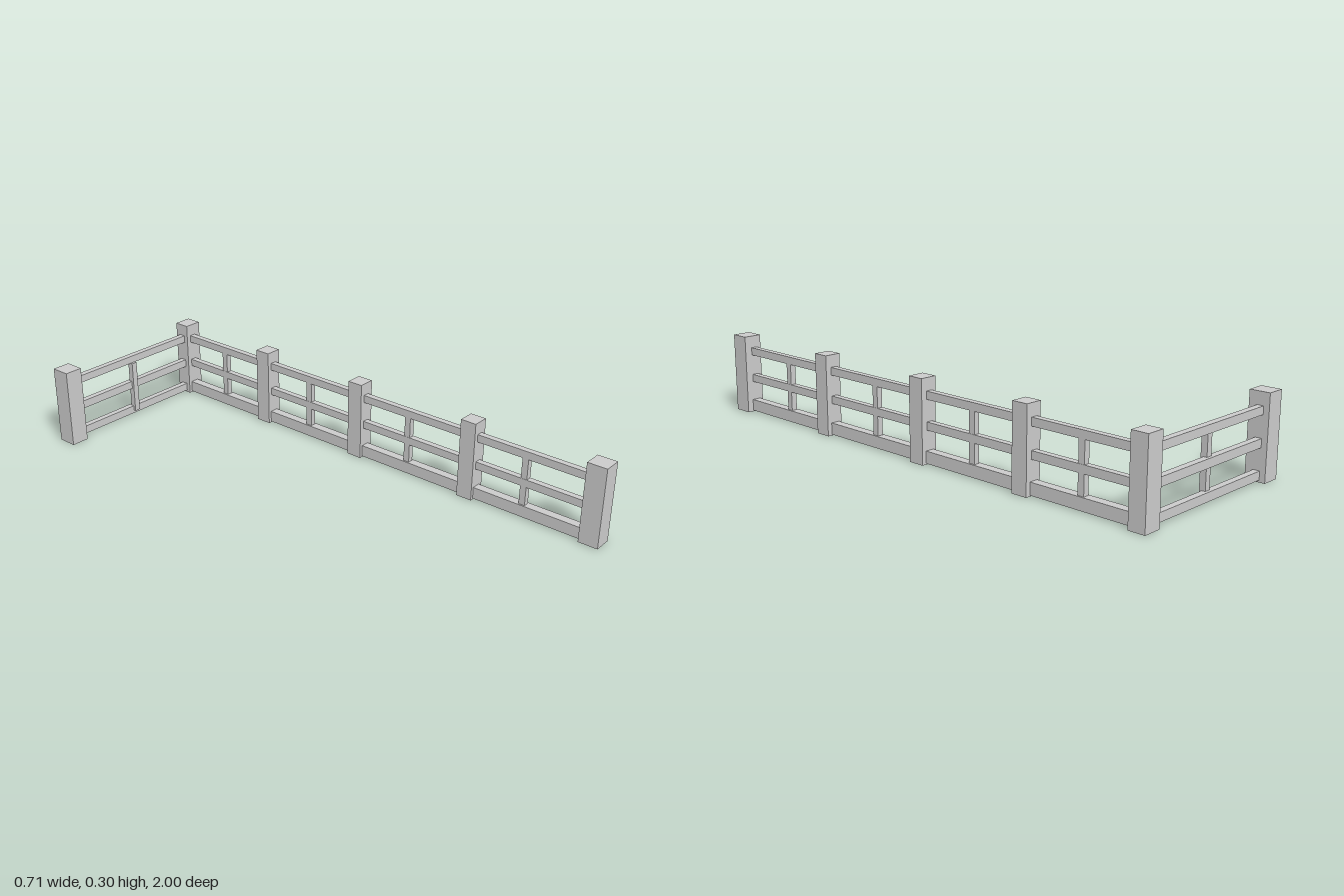
import * as THREE from 'three';

export function createModel() {
  const model = new THREE.Group();
  const material = new THREE.MeshStandardMaterial({ color: 0xcccccc, flatShading: true });

  // Box given by its extents along each axis
  function block(name, [x0, x1], [y0, y1], [z0, z1]) {
    const mesh = new THREE.Mesh(new THREE.BoxGeometry(x1 - x0, y1 - y0, z1 - z0), material);
    mesh.position.set((x0 + x1) / 2, (y0 + y1) / 2, (z0 + z1) / 2);
    mesh.name = name;
    model.add(mesh);
  }

  // Posts: thicker at the ends, slimmer along the long run
  const postY = [0, 0.302];
  block('backEndPost', [-0.356, -0.286], postY, [-1, -0.925]);
  block('cornerPost', [0.286, 0.356], postY, [-1, -0.938]);
  block('frontEndPost', [0.286, 0.356], postY, [0.926, 1]);
  const middlePosts = [-0.51, -0.04, 0.465];
  for (const z of middlePosts) block('middlePost', [0.287, 0.35], postY, [z - 0.031, z + 0.031]);

  // Short back run: three rails and one upright
  for (const y of [[0.008, 0.039], [0.117, 0.148], [0.227, 0.256]]) {
    block('backRail', [-0.29, 0.29], y, [-0.979, -0.955]);
  }
  block('backUpright', [-0.015, 0.008], [0.02, 0.228], [-0.968, -0.945]);

  // Long side run: rails between neighbouring posts, heavier at the bottom
  const postZ = [-0.969, ...middlePosts, 0.963];
  for (let i = 0; i < postZ.length - 1; i++) {
    const span = [postZ[i] + 0.02, postZ[i + 1] - 0.02];
    block('sideBottomRail', [0.299, 0.333], [0.004, 0.048], span);
    block('sideMiddleRail', [0.304, 0.328], [0.12, 0.149], span);
    block('sideTopRail', [0.304, 0.328], [0.227, 0.256], span);
  }
  for (const z of [-0.739, -0.282, 0.194, 0.691]) {
    block('sideUpright', [0.305, 0.327], [0.04, 0.23], [z - 0.012, z + 0.012]);
  }

  return model;
}
